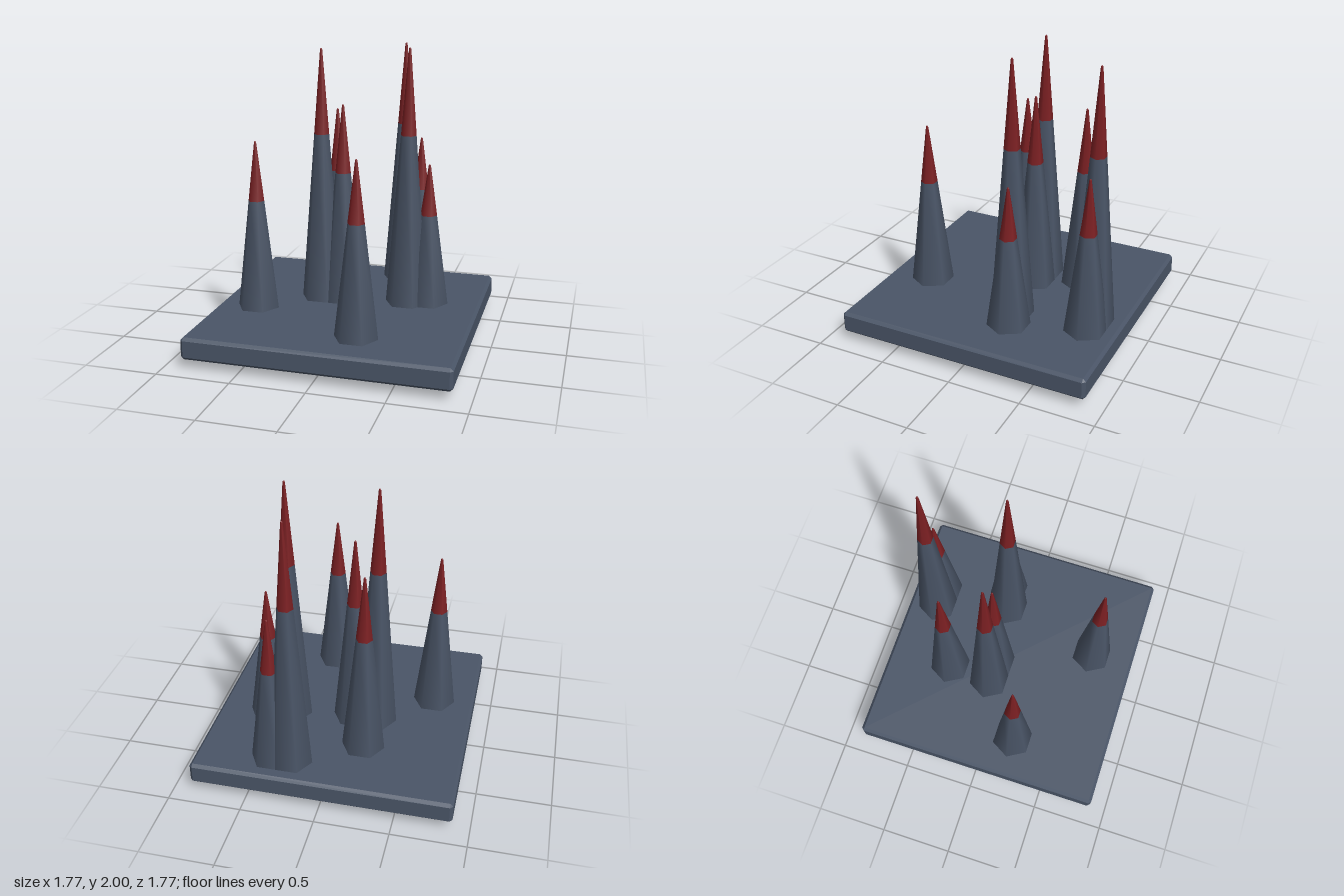
import * as THREE from 'three';
import { ConvexGeometry } from 'three/addons/geometries/ConvexGeometry.js';

const slate = new THREE.MeshStandardMaterial({ color: 0x4a5567 });
slate.name = 'slate';
const red = new THREE.MeshStandardMaterial({ color: 0x7d2023 });
red.name = 'dark red';

// Box with every edge and corner chamfered by c
function chamferedBox(hx, hy, hz, c) {
  const points = [];
  for (const sx of [-1, 1]) for (const sy of [-1, 1]) for (const sz of [-1, 1]) {
    points.push(
      new THREE.Vector3(sx * hx, sy * (hy - c), sz * (hz - c)),
      new THREE.Vector3(sx * (hx - c), sy * hy, sz * (hz - c)),
      new THREE.Vector3(sx * (hx - c), sy * (hy - c), sz * hz)
    );
  }
  return new ConvexGeometry(points);
}

// Six-sided lathe with a corner on the x axis
function hexLathe(profile, material, name) {
  const points = profile.map(([r, y]) => new THREE.Vector2(r, y));
  const mesh = new THREE.Mesh(new THREE.LatheGeometry(points, 6, Math.PI / 2), material);
  mesh.name = name;
  return mesh;
}

// Spike through the slab: shallow point below, slate shaft, red tip
function createSpike(x, z, height) {
  const spike = new THREE.Group();
  spike.name = 'spike';
  const wide = 0.149, shoulder = 0.2, blunt = 0.008;
  const split = height * 0.705;
  const rSplit = blunt + (wide - blunt) * (height - split) / (height - shoulder);
  spike.add(
    hexLathe([[0, 0.005], [0.115, 0.053], [0.118, 0.075]], slate, 'spikeFoot'),
    hexLathe([[0.118, 0.075], [wide, shoulder], [rSplit, split]], slate, 'spikeShaft'),
    hexLathe([[rSplit, split], [blunt, height - 0.01], [0.005, height - 0.002], [0, height]], red, 'spikeTip')
  );
  spike.position.set(x, 0, z);
  return spike;
}

export function createModel() {
  const model = new THREE.Group();
  model.name = 'spikeTrap';

  const slab = new THREE.Mesh(chamferedBox(0.885, 0.076, 0.885, 0.02), slate);
  slab.name = 'baseSlab';
  slab.position.y = 0.142;
  model.add(slab);

  // x, z, height of each spike
  const spikes = [
    [0.235, -0.675, 1.985], [0.36, -0.675, 1.3], [-0.205, -0.42, 1.53],
    [-0.228, -0.105, 1.985], [-0.075, -0.105, 1.61], [0.374, -0.15, 2],
    [0.515, -0.19, 1.21], [-0.6, 0.2, 1.385], [0.203, 0.57, 1.385],
  ];
  for (const [x, z, height] of spikes) model.add(createSpike(x, z, height));
  return model;
}
